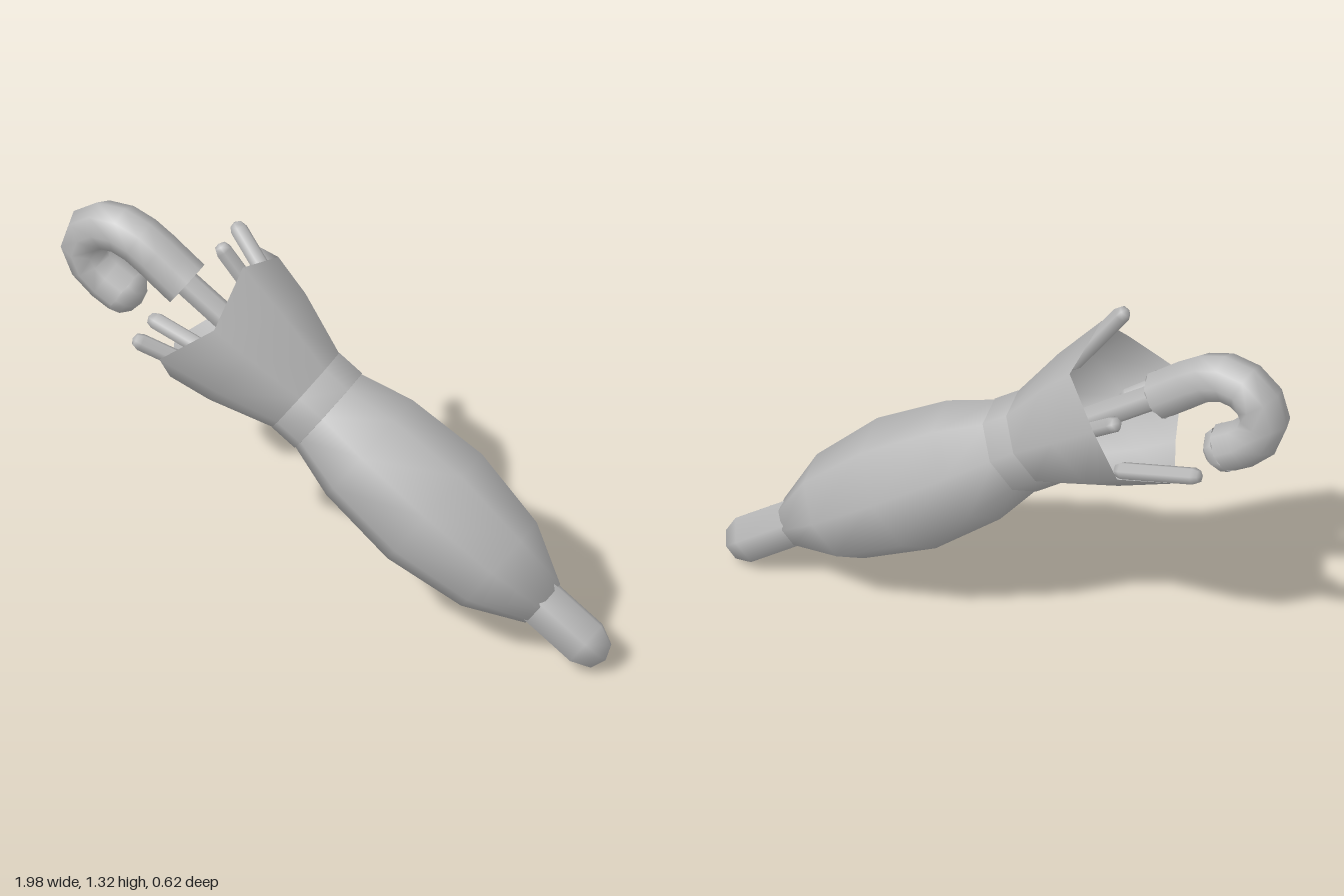
import * as THREE from 'three';

const grey = new THREE.MeshStandardMaterial({ color: 0xb8b8b8, side: THREE.DoubleSide });
grey.name = 'plain grey';

const TURN = THREE.MathUtils.degToRad(12); // twist of the eight canopy panels
const V = (x, y, z) => new THREE.Vector3(x, y, z);

function part(name, geometry) {
  const mesh = new THREE.Mesh(geometry, grey);
  mesh.name = name;
  return mesh;
}

// profile: [radius, distance along the shaft]
function turned(name, profile, sides = 8, start = TURN) {
  const points = profile.map(([r, t]) => new THREE.Vector2(r, t));
  return part(name, new THREE.LatheGeometry(points, sides, start));
}

// rounded rod between two points
function rod(name, a, b, radius) {
  const dir = b.clone().sub(a);
  const mesh = part(name, new THREE.CapsuleGeometry(radius, dir.length(), 2, 6));
  mesh.position.copy(a).add(b).multiplyScalar(0.5);
  mesh.quaternion.setFromUnitVectors(V(0, 1, 0), dir.normalize());
  return mesh;
}

// flared open end: the hem reaches further at the four ribs
function flare() {
  const mesh = turned('canopyFlare', [[0.28, -0.44], [0.238, -0.26], [0.164, -0.045]]);
  const pos = mesh.geometry.attributes.position;
  for (let i = 0; i <= 8; i++) {
    const angle = TURN + (i * Math.PI) / 4;
    const atRib = i % 2 === 0;
    const r = atRib ? 0.292 : 0.268;
    pos.setXYZ(i * 3, r * Math.sin(angle), atRib ? -0.472 : -0.405, r * Math.cos(angle));
  }
  return mesh;
}

// crooked handle with a domed end
function handle() {
  const group = new THREE.Group();
  group.name = 'handle';
  const curve = new THREE.CatmullRomCurve3([
    V(-0.535, 1.09, 0.005), V(-0.72, 1.217, 0.02), V(-0.81, 1.23, 0.02), V(-0.888, 1.19, 0.015),
    V(-0.918, 1.11, 0.01), V(-0.875, 1.03, 0), V(-0.782, 0.972, -0.01),
  ]);
  const radius = 0.083;
  group.add(part('crook', new THREE.TubeGeometry(curve, 10, radius, 8)));

  const dome = part('crookEnd', new THREE.SphereGeometry(radius, 8, 3, 0, Math.PI * 2, 0, Math.PI / 2));
  dome.position.copy(curve.getPoint(1));
  dome.quaternion.setFromUnitVectors(V(0, 1, 0), curve.getTangent(1));
  dome.scale.y = 0.85;

  const cap = part('crookBase', new THREE.CircleGeometry(radius, 8));
  cap.position.copy(curve.getPoint(0));
  cap.quaternion.setFromUnitVectors(V(0, 0, 1), curve.getTangent(0).negate());
  group.add(dome, cap);
  return group;
}

export function createModel() {
  const model = new THREE.Group();
  model.name = 'closedUmbrella';

  // tilted frame: local y runs along the shaft towards the tip
  const along = V(0.821, -0.566, -0.08).normalize();
  const up = V(0.566, 0.821, 0).normalize();
  const side = along.clone().cross(up);
  const body = new THREE.Group();
  body.name = 'canopyAndShaft';
  body.quaternion.setFromRotationMatrix(new THREE.Matrix4().makeBasis(side, along, up));
  body.position.set(-0.07, 0.77, -0.04);

  body.add(turned('canopyBody', [
    [0.16, 0.04], [0.213, 0.23], [0.234, 0.516], [0.187, 0.798], [0.086, 0.99], [0, 0.99],
  ]));
  body.add(turned('strap', [[0.16, -0.05], [0.167, -0.048], [0.167, 0.051], [0.158, 0.053]]));
  body.add(flare());
  body.add(turned('tip', [[0.088, 0.96], [0.088, 1.18], [0.056, 1.245], [0, 1.265]], 6, -0.17));

  // shaft
  const shaft = part('shaft', new THREE.CylinderGeometry(0.045, 0.045, 0.6, 6));
  shaft.position.y = -0.29;
  body.add(shaft);

  // four ribs poking out of the hem
  for (let i = 0; i < 4; i++) {
    const angle = TURN + (i * Math.PI) / 2;
    const at = (r, t) => V(r * Math.sin(angle), t, r * Math.cos(angle));
    body.add(rod('rib', at(0.195, -0.3), at(0.29, -0.555), 0.03));
  }

  model.add(body, handle());
  return model;
}
